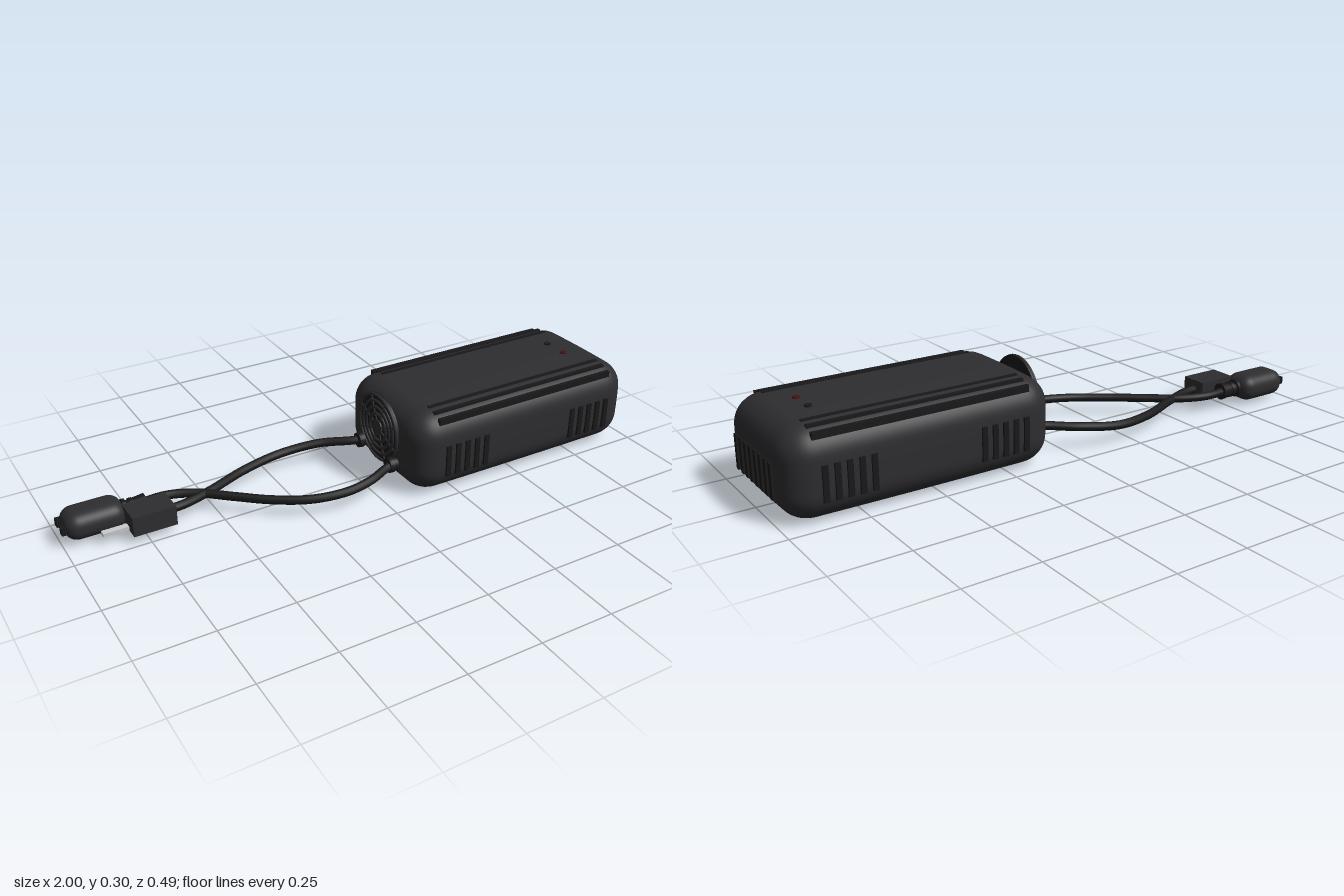
import * as THREE from 'three';
import { mergeVertices } from 'three/addons/utils/BufferGeometryUtils.js';

const shell = new THREE.MeshStandardMaterial({ color: 0x2e2e31 });
const dark = new THREE.MeshStandardMaterial({ color: 0x19191b });
const metal = new THREE.MeshStandardMaterial({ color: 0xcccccc });
const red = new THREE.MeshStandardMaterial({ color: 0x4a1214 });

// Smooth box: corners rounded by radius r, faces slightly crowned
function softBox(w, h, d, r, crown, seg) {
  const g = new THREE.BoxGeometry(w, h, d, ...seg);
  g.deleteAttribute('uv');
  g.deleteAttribute('normal');
  const core = new THREE.Vector3(w / 2 - r, h / 2 - r, d / 2 - r);
  const min = core.clone().negate();
  const p = new THREE.Vector3(), q = new THREE.Vector3();
  const pos = g.attributes.position;
  for (let i = 0; i < pos.count; i++) {
    p.fromBufferAttribute(pos, i);
    q.copy(p).clamp(min, core);
    p.sub(q).setLength(r).add(q);
    const u = (2 * p.x) / w, v = (2 * p.y) / h, t = (2 * p.z) / d;
    pos.setXYZ(i,
      p.x * (1 - crown * 0.4 * (v * v + t * t)),
      p.y * (1 - crown * (u * u * 0.5 + t * t)),
      p.z * (1 - crown * (u * u * 0.2 + v * v)));
  }
  const m = mergeVertices(g, 1e-5);
  m.computeVertexNormals();
  return m;
}

export function createModel() {
  const root = new THREE.Group();

  const add = (name, geo, mat, x, y, z, parent = root) => {
    const m = new THREE.Mesh(geo, mat);
    m.name = name;
    m.position.set(x, y, z);
    parent.add(m);
    return m;
  };
  const box = (name, mat, w, h, d, x, y, z, parent) =>
    add(name, new THREE.BoxGeometry(w, h, d), mat, x, y, z, parent);
  // Cylinder lying along x
  const rod = (name, mat, r1, r2, len, x, y, z, parent) =>
    add(name, new THREE.CylinderGeometry(r1, r2, len, 32).rotateZ(Math.PI / 2), mat, x, y, z, parent);
  const group = (name) => {
    const g = new THREE.Group();
    g.name = name;
    root.add(g);
    return g;
  };

  // Housing
  add('housing', softBox(0.905, 0.297, 0.476, 0.092, 0.02, [48, 22, 30]), shell, 0.5375, 0.1485, 0);

  // Vent slats on both long sides
  const sideVents = group('sideVents');
  for (const s of [-1, 1])
    for (const start of [0.205, 0.725])
      for (let i = 0; i < 5; i++)
        box('sideVentSlat', dark, 0.018, 0.113, 0.03, start + i * 0.038, 0.131, s * 0.229, sideVents);

  // Vent slats on the end
  const endVents = group('endVents');
  for (let i = 0; i < 8; i++)
    box('endVentSlat', dark, 0.03, 0.113, 0.017, 0.983, 0.131, (i - 3.5) * 0.0383, endVents);

  // Long ribs along the top edges
  const ribs = group('topRibs');
  for (const s of [-1, 1])
    for (const [z, top] of [[0.145, 0.298], [0.178, 0.293], [0.211, 0.281]])
      box('topRib', dark, 0.72, 0.022, 0.014, 0.54, top - 0.011, s * z, ribs);

  // Indicator lights
  for (const [z, mat] of [[-0.048, dark], [0.04, red]])
    add('indicatorLight', new THREE.CylinderGeometry(0.012, 0.012, 0.012, 20), mat, 0.835, 0.295, z);

  // Round fan grille on the cable end
  const fan = group('fanGrille');
  fan.position.set(0.083, 0.181, 0);
  rod('grilleDisc', dark, 0.122, 0.122, 0.01, 0, 0, 0, fan);
  for (const r of [0.05, 0.073, 0.096, 0.118])
    add('grilleRing', new THREE.TorusGeometry(r, 0.0055, 8, 48).rotateY(Math.PI / 2), shell, -0.005, 0, 0, fan);
  rod('fanHub', shell, 0.028, 0.028, 0.014, -0.003, 0, 0, fan);
  for (let i = 0; i < 4; i++)
    box('grilleSpoke', shell, 0.008, 0.236, 0.007, -0.004, 0, 0, fan).rotation.x = (i + 0.5) * Math.PI / 4;

  // Cable grommets
  for (const s of [-1, 1]) {
    rod('grommet', dark, 0.026, 0.022, 0.06, 0.085, 0.088, s * 0.1);
    rod('grommetCollar', dark, 0.027, 0.027, 0.012, 0.066, 0.088, s * 0.1);
  }

  // Two crossing cables
  const cable = (name, pts) => {
    const curve = new THREE.CatmullRomCurve3(pts.map((p) => new THREE.Vector3(...p)));
    add(name, new THREE.TubeGeometry(curve, 90, 0.015, 12), dark, 0, 0, 0);
  };
  cable('blockCable', [[0.08, 0.088, -0.1], [0.04, 0.084, -0.115], [-0.06, 0.075, -0.17],
    [-0.2, 0.06, -0.197], [-0.35, 0.055, -0.168], [-0.5, 0.056, -0.105], [-0.6, 0.058, -0.07], [-0.68, 0.059, -0.06]]);
  cable('plugCable', [[0.08, 0.088, 0.1], [0.04, 0.084, 0.11], [-0.03, 0.076, 0.136], [-0.12, 0.066, 0.144],
    [-0.24, 0.058, 0.115], [-0.35, 0.055, 0.05], [-0.45, 0.056, -0.03], [-0.55, 0.058, -0.11],
    [-0.64, 0.059, -0.145], [-0.76, 0.06, -0.14]]);

  // Block connector with metal blades
  box('blockConnector', shell, 0.145, 0.068, 0.096, -0.728, 0.061, -0.062);
  box('contactBlade', metal, 0.09, 0.012, 0.022, -0.84, 0.036, -0.068);

  // Rounded plug with strain relief and tip contacts
  add('plugBody', softBox(0.2, 0.094, 0.122, 0.042, 0.02, [20, 14, 16]), shell, -0.888, 0.06, -0.14);
  rod('strainRelief', dark, 0.03, 0.019, 0.1, -0.765, 0.06, -0.14).rotation.y = Math.PI;
  for (let i = 0; i < 3; i++)
    rod('strainReliefRib', dark, 0.031 - i * 0.003, 0.031 - i * 0.003, 0.012, -0.787 + i * 0.025, 0.06, -0.14);
  for (const z of [-0.167, -0.112])
    box('tipContact', dark, 0.04, 0.026, 0.022, -0.98, 0.06, z);

  return root;
}
